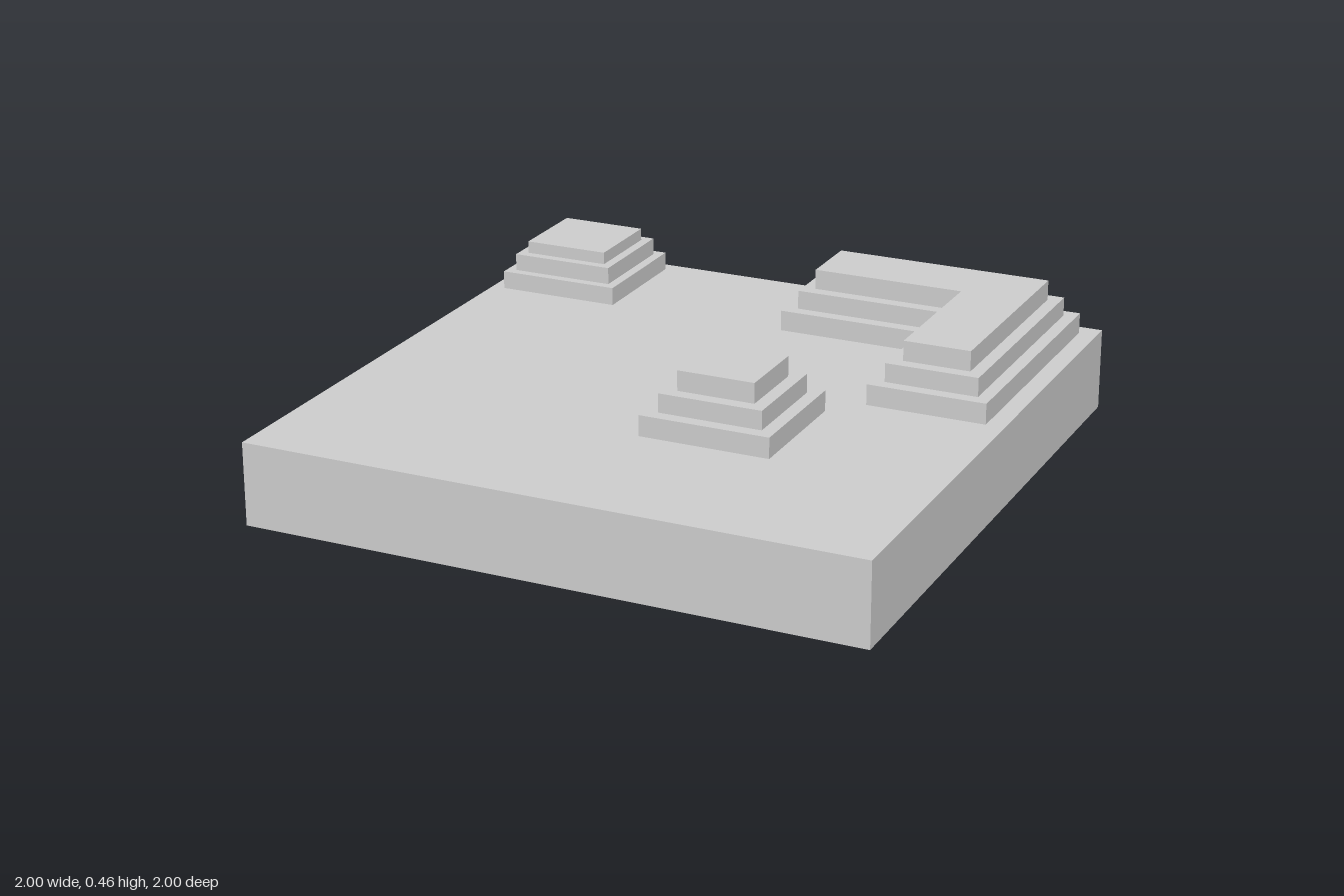
import * as THREE from 'three';

const material = new THREE.MeshStandardMaterial({ color: 0xcccccc, flatShading: true, side: THREE.DoubleSide });

// Outlines are counter-clockwise [x, -z] corners with right-angled turns.
const square = (x, z, half) => [
  [x - half, -z - half], [x + half, -z - half], [x + half, -z + half], [x - half, -z + half],
];

// Moves every edge of a right-angled outline inwards by d.
function inset(outline, d) {
  const n = outline.length;
  const inward = (a, b) => [-Math.sign(b[1] - a[1]), Math.sign(b[0] - a[0])];
  return outline.map((p, i) => {
    const u = inward(outline[(i + n - 1) % n], p);
    const v = inward(p, outline[(i + 1) % n]);
    return [p[0] + (u[0] + v[0]) * d, p[1] + (u[1] + v[1]) * d];
  });
}

const toPoints = (outline) => outline.map(([x, y]) => new THREE.Vector2(x, y));

// Flat horizontal surface at height y, with openings cut out.
function deck(name, outline, openings, y) {
  const shape = new THREE.Shape(toPoints(outline));
  for (const o of openings) shape.holes.push(new THREE.Path(toPoints(o)));
  const mesh = new THREE.Mesh(new THREE.ShapeGeometry(shape).rotateX(-Math.PI / 2), material);
  mesh.position.y = y;
  mesh.name = name;
  return mesh;
}

// Thin upright walls that follow an outline.
function walls(name, outline, y0, y1) {
  const positions = [];
  outline.forEach(([ax, ay], i) => {
    const [bx, by] = outline[(i + 1) % outline.length];
    positions.push(ax, y0, -ay, bx, y0, -by, bx, y1, -by, ax, y0, -ay, bx, y1, -by, ax, y1, -ay);
  });
  const geometry = new THREE.BufferGeometry();
  geometry.setAttribute('position', new THREE.Float32BufferAttribute(positions, 3));
  geometry.computeVertexNormals();
  const mesh = new THREE.Mesh(geometry, material);
  mesh.name = name;
  return mesh;
}

// Hollow stepped mound: each level is a riser and a tread open to the next level.
function steppedMound(name, outline, step, heights) {
  const group = new THREE.Group();
  group.name = name;
  for (let i = 0; i < heights.length - 1; i++) {
    const level = inset(outline, step * i);
    const last = i === heights.length - 2;
    group.add(walls('riser', level, heights[i], heights[i + 1]));
    group.add(deck(last ? 'moundTop' : 'tread', level, last ? [] : [inset(outline, step * (i + 1))], heights[i + 1]));
  }
  return group;
}

export function createModel() {
  const model = new THREE.Group();
  model.name = 'terrainBlock';
  const top = 0.267;

  const mounds = [
    ['frontMound', square(0.25, 0.25, 0.211), 0.043, [top, 0.334, 0.395, 0.46]],
    ['cornerMound', square(-0.752, -0.752, 0.204), 0.031, [top, 0.326, 0.382, 0.422]],
    ['angledMound', [[0.055, 0.56], [0.555, 0.56], [0.555, 0.06], [0.94, 0.06], [0.94, 0.945], [0.055, 0.945]],
      0.042, [top, 0.334, 0.395, 0.46]],
  ];

  // Open-bottomed base
  const base = square(0, 0, 1);
  model.add(walls('baseWalls', base, 0, top));
  model.add(deck('baseTop', base, mounds.map((m) => m[1]), top));

  // Mounds rising from the base
  for (const m of mounds) model.add(steppedMound(...m));
  return model;
}
